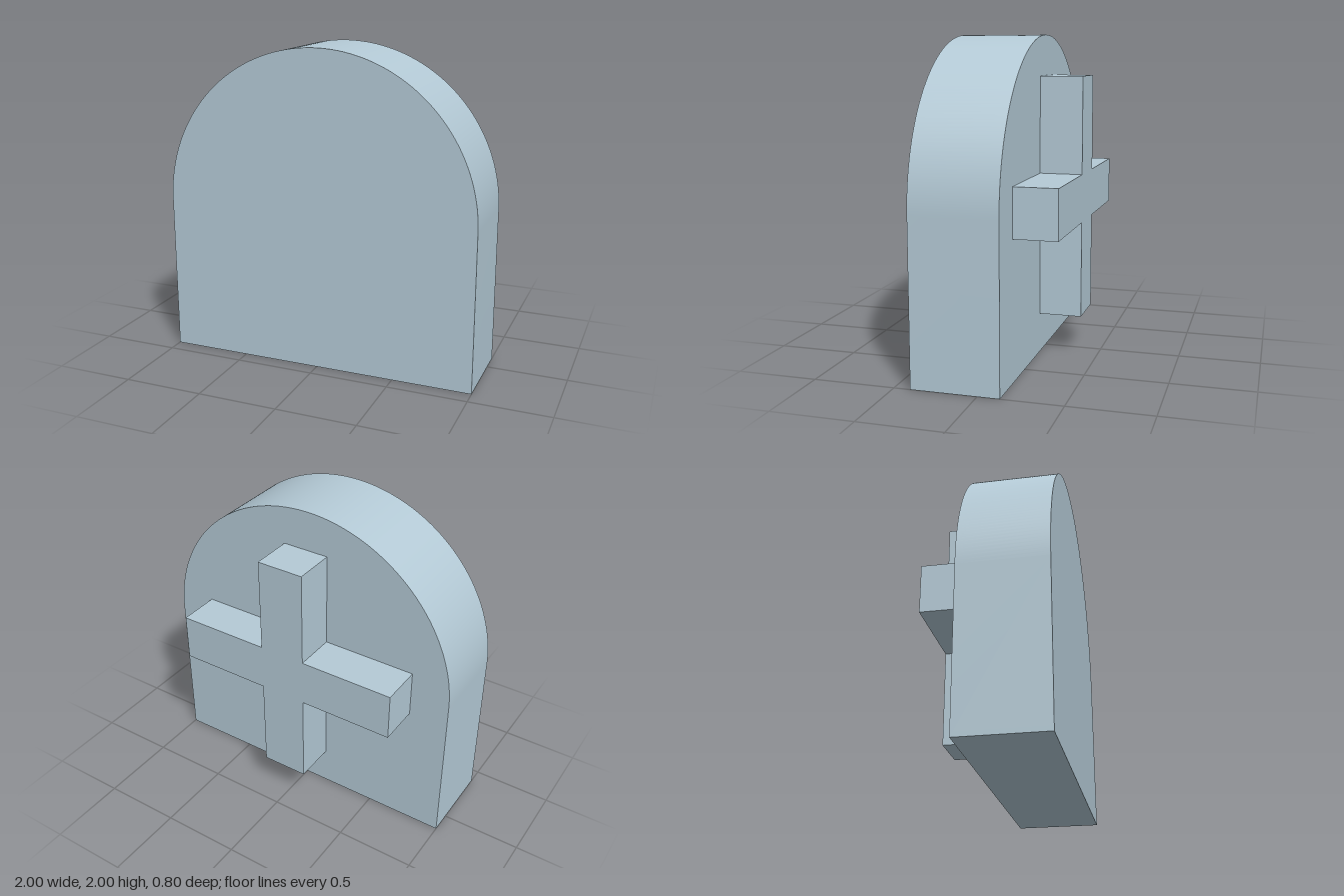
import * as THREE from 'three';
import { toCreasedNormals } from 'three/addons/utils/BufferGeometryUtils.js';

const BACK = -0.4, FACE = -0.1333, FRONT = 0.4;

// Extrude a shape between two z positions, keeping sharp edges sharp.
function slab(name, shape, z0, z1, material) {
  const geometry = new THREE.ExtrudeGeometry(shape, {
    depth: z1 - z0, bevelEnabled: false, curveSegments: 64,
  });
  geometry.translate(0, 0, z0);
  const mesh = new THREE.Mesh(toCreasedNormals(geometry, Math.PI / 6), material);
  mesh.name = name;
  return mesh;
}

export function createModel() {
  const stone = new THREE.MeshStandardMaterial({ color: 0xb4cad6 });
  stone.name = 'pale blue grey';

  // Round-topped slab
  const arch = new THREE.Shape();
  arch.moveTo(-1, 0);
  arch.lineTo(1, 0);
  arch.lineTo(1, 1);
  arch.absarc(0, 1, 1, 0, Math.PI, false);
  arch.closePath();

  // Equal-armed cross: one arm tip and inner corner repeated four times
  const reach = 0.75, half = 0.15, centre = new THREE.Vector2(0, 1);
  const points = [];
  for (let i = 0; i < 4; i++) {
    for (const [x, y] of [[reach, -half], [reach, half], [half, half]]) {
      points.push(new THREE.Vector2(x, y)
        .rotateAround(new THREE.Vector2(), i * Math.PI / 2).add(centre));
    }
  }

  const model = new THREE.Group();
  model.name = 'archedSlabWithCross';
  model.add(
    slab('archedSlab', arch, FACE, FRONT, stone),
    slab('raisedCross', new THREE.Shape(points), BACK, FACE, stone),
  );
  return model;
}
